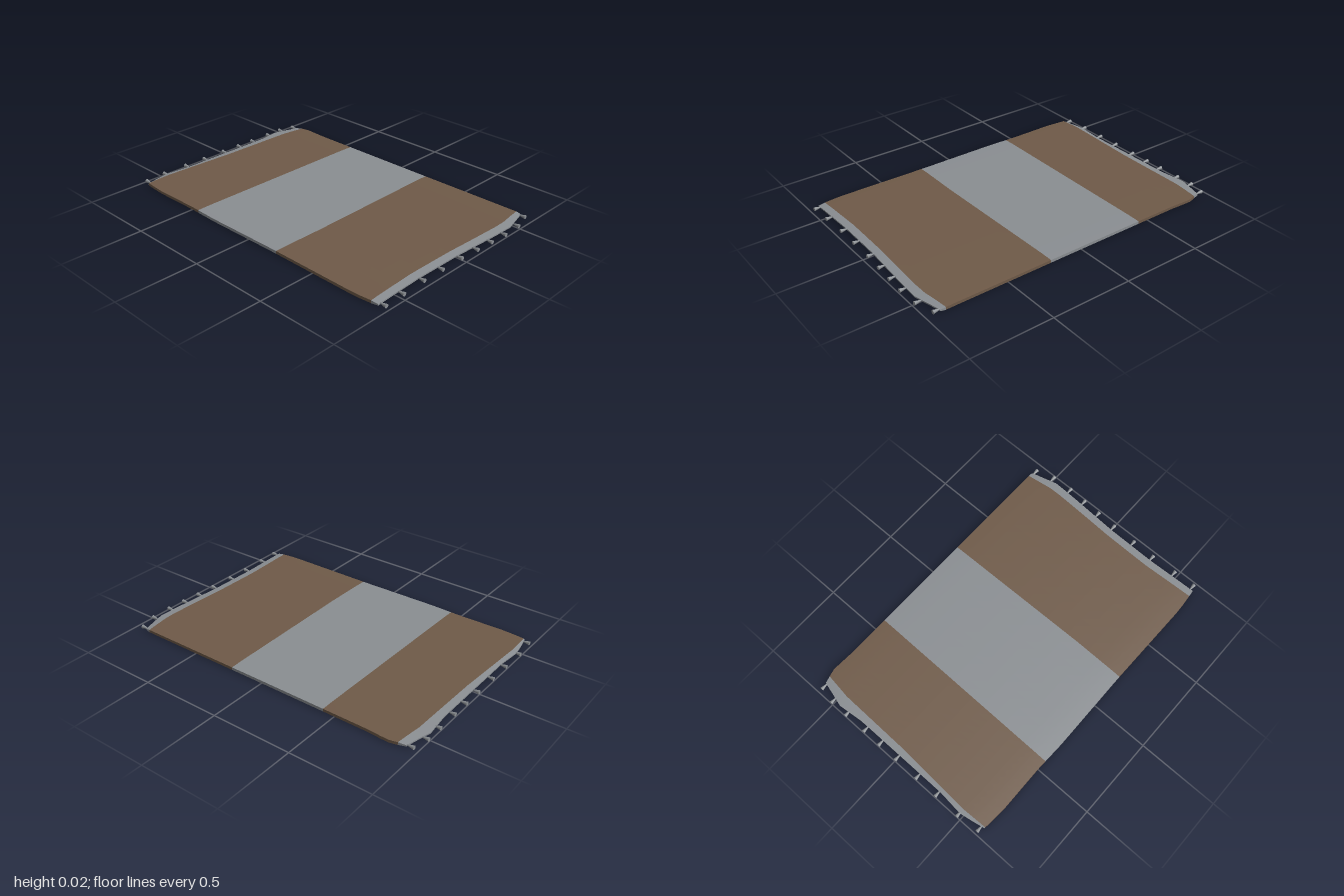
import * as THREE from 'three';

const gray = new THREE.MeshStandardMaterial({ color: 0x8a8e92 });
gray.name = 'wool gray';
const brown = new THREE.MeshStandardMaterial({ color: 0x6f5a48 });
brown.name = 'wool brown';

// Piecewise-linear curve through [x, value] points
const curve = (pts) => (x) => {
  if (x <= pts[0][0]) return pts[0][1];
  for (let i = 1; i < pts.length; i++) {
    const [x0, v0] = pts[i - 1], [x1, v1] = pts[i];
    if (x <= x1) return v0 + (v1 - v0) * (x - x0) / (x1 - x0);
  }
  return pts[pts.length - 1][1];
};

// Lines across the rug, from back hem to front hem
const backEdge = curve([[-0.63, -0.945], [-0.48, -0.975], [-0.31, -0.96], [0.31, -0.96], [0.48, -0.978], [0.62, -0.935]]);
const backHem = curve([[-0.63, -0.938], [-0.48, -0.945], [0, -0.92], [0.48, -0.912], [0.62, -0.892]]);
const backStripe = curve([[-0.63, -0.44], [0.63, -0.428]]);
const frontStripe = curve([[-0.63, 0.225], [-0.31, 0.228], [0.63, 0.215]]);
const frontHem = curve([[-0.63, 0.9], [-0.3, 0.885], [0, 0.89], [0.2, 0.9], [0.45, 0.91], [0.62, 0.885]]);
const frontEdge = curve([[-0.63, 0.943], [-0.31, 0.932], [0, 0.936], [0.36, 0.957], [0.48, 0.96], [0.62, 0.917]]);

// Slightly uneven long sides
const leftSide = curve([[-0.95, 0.615], [-0.84, 0.642], [-0.7, 0.634], [0, 0.632], [0.9, 0.632], [0.95, 0.622]]);
const rightSide = curve([[-0.95, -0.633], [-0.8, -0.645], [-0.5, -0.641], [-0.3, -0.647], [0.2, -0.642], [0.8, -0.647], [0.95, -0.633]]);

// One band of cloth between two lines; its hem end is thinner
function band(name, material, start, end, thinEnd = 0) {
  const geo = new THREE.BoxGeometry(1.26, 1, 1, 16, 1, 10);
  const p = geo.attributes.position;
  for (let i = 0; i < p.count; i++) {
    const u = p.getX(i), t = p.getZ(i) + 0.5;
    const z = THREE.MathUtils.lerp(start(u), end(u), t);
    const a = u / 1.26 + 0.5;
    const x = THREE.MathUtils.lerp(rightSide(z), leftSide(z), a);
    const thin = thinEnd > 0 ? t : thinEnd < 0 ? 1 - t : 0;
    const y = p.getY(i) > 0 ? 0.021 - 0.005 * thin : 0.004 + 0.004 * thin;
    const droop = Math.abs(u) > 0.6 ? 0.002 : 0;
    p.setXYZ(i, x, y - droop, z);
  }
  geo.computeVertexNormals();
  const mesh = new THREE.Mesh(geo, material);
  mesh.name = name;
  return mesh;
}

// Row of small flared tassels, wide end outward
function tassels(name, xs, edge, side) {
  const row = new THREE.Group();
  row.name = name;
  const geo = new THREE.CylinderGeometry(0.012, 0.003, 0.045, 10);
  geo.rotateX(side * Math.PI / 2);
  for (const x of xs) {
    const tassel = new THREE.Mesh(geo, gray);
    tassel.name = 'tassel';
    tassel.position.set(x, 0.012, THREE.MathUtils.clamp(edge(x) + side * 0.016, -0.9775, 0.9775));
    row.add(tassel);
  }
  return row;
}

export function createModel() {
  const rug = new THREE.Group();
  rug.name = 'rug';
  rug.add(
    band('backHem', gray, backEdge, backHem, -1),
    band('backBand', brown, backHem, backStripe),
    band('middleBand', gray, backStripe, frontStripe),
    band('frontBand', brown, frontStripe, frontHem),
    band('frontHem', gray, frontHem, frontEdge, 1),
  );
  const shared = [-0.615, -0.475, -0.31, -0.16, 0, 0.13, 0.25];
  rug.add(
    tassels('backTassels', [...shared, 0.395, 0.51, 0.61], backEdge, -1),
    tassels('frontTassels', [...shared, 0.37, 0.505, 0.62], frontEdge, 1),
  );
  return rug;
}
